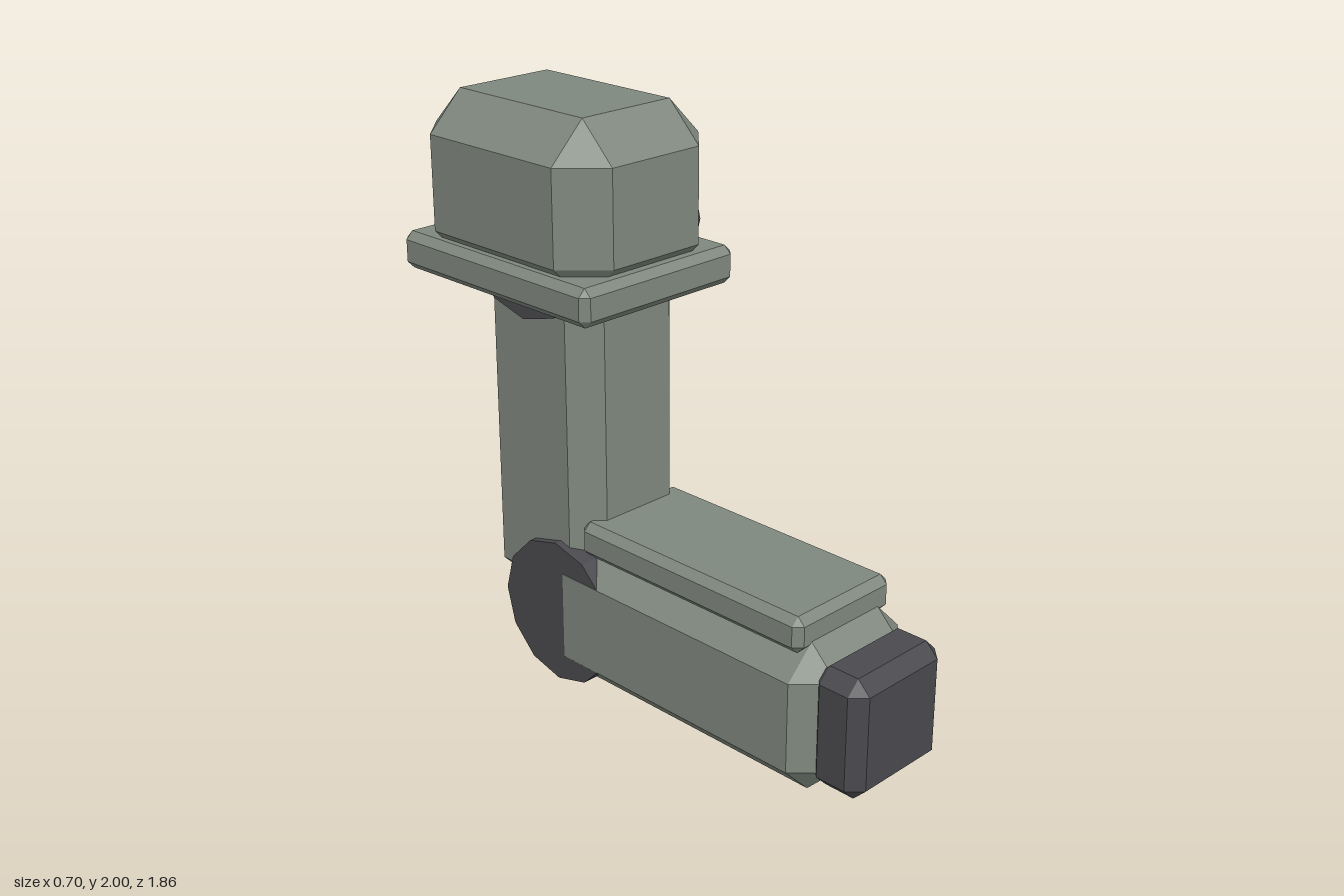
import * as THREE from 'three';
import { ConvexGeometry } from 'three/addons/geometries/ConvexGeometry.js';

const material = (name, color) => {
  const m = new THREE.MeshStandardMaterial({ color, flatShading: true });
  m.name = name;
  return m;
};

// Box with every edge cut at 45 degrees, given by its limits on each axis
function chamferBox([x0, x1], [y0, y1], [z0, z1], c) {
  const half = [(x1 - x0) / 2, (y1 - y0) / 2, (z1 - z0) / 2];
  const points = [];
  for (const sx of [-1, 1]) for (const sy of [-1, 1]) for (const sz of [-1, 1]) {
    for (let axis = 0; axis < 3; axis++) {
      const h = half.map((v, i) => (i === axis ? v : v - c));
      points.push(new THREE.Vector3(sx * h[0], sy * h[1], sz * h[2]));
    }
  }
  return new ConvexGeometry(points).translate((x0 + x1) / 2, (y0 + y1) / 2, (z0 + z1) / 2);
}

// Twelve-sided drum lying along x
function drum(radius, x0, x1, y, z) {
  return new THREE.CylinderGeometry(radius, radius, x1 - x0, 12)
    .rotateZ(Math.PI / 2)
    .translate((x0 + x1) / 2, y, z);
}

export function createModel() {
  const model = new THREE.Group();
  model.name = 'jointedArm';
  const green = material('greyGreen', 0x7f887e);
  const dark = material('darkGrey', 0x4a494e);
  const amber = material('amber', 0xc8a064);

  const add = (name, geometry, mat) => {
    const mesh = new THREE.Mesh(geometry, mat);
    mesh.name = name;
    model.add(mesh);
  };

  // Lower limb with its top cover and end block
  add('lowerLimb', chamferBox([-0.215, 0.31], [0, 0.525], [-0.425, 0.8], 0.105), green);
  add('topCover', chamferBox([-0.172, 0.272], [0.49, 0.615], [-0.28, 0.695], 0.027), green);
  add('endBlock', chamferBox([-0.16, 0.26], [0.053, 0.475], [0.725, 0.93], 0.047), dark);

  // Three ribs on one side
  for (const y of [0.13, 0.263, 0.395]) {
    add('sideRib', chamferBox([0.27, 0.346], [y - 0.031, y + 0.031], [-0.153, 0.37], 0.012), dark);
  }

  // Elbow and upper limb with its rear rod
  add('elbowJoint', drum(0.26, -0.214, 0.311, 0.265, -0.352), dark);
  add('upperLimb', chamferBox([-0.188, 0.285], [0.265, 1.447], [-0.745, -0.22], 0.09), green);
  add('rearRod', new THREE.CylinderGeometry(0.075, 0.075, 0.85, 8).translate(0.047, 0.855, -0.77), green);

  // Shoulder: flange, joint, cap and side plate
  add('flange', chamferBox([-0.35, 0.315], [1.395, 1.523], [-0.925, -0.035], 0.026), green);
  add('shoulderJoint', drum(0.287, -0.215, 0.31, 1.578, -0.478), dark);
  add('shoulderCap', chamferBox([-0.33, 0.3], [1.42, 2], [-0.9, -0.063], 0.13), green);
  add('sidePlate', chamferBox([0.27, 0.328], [1.688, 1.868], [-0.713, -0.247], 0.011), amber);

  return model;
}
